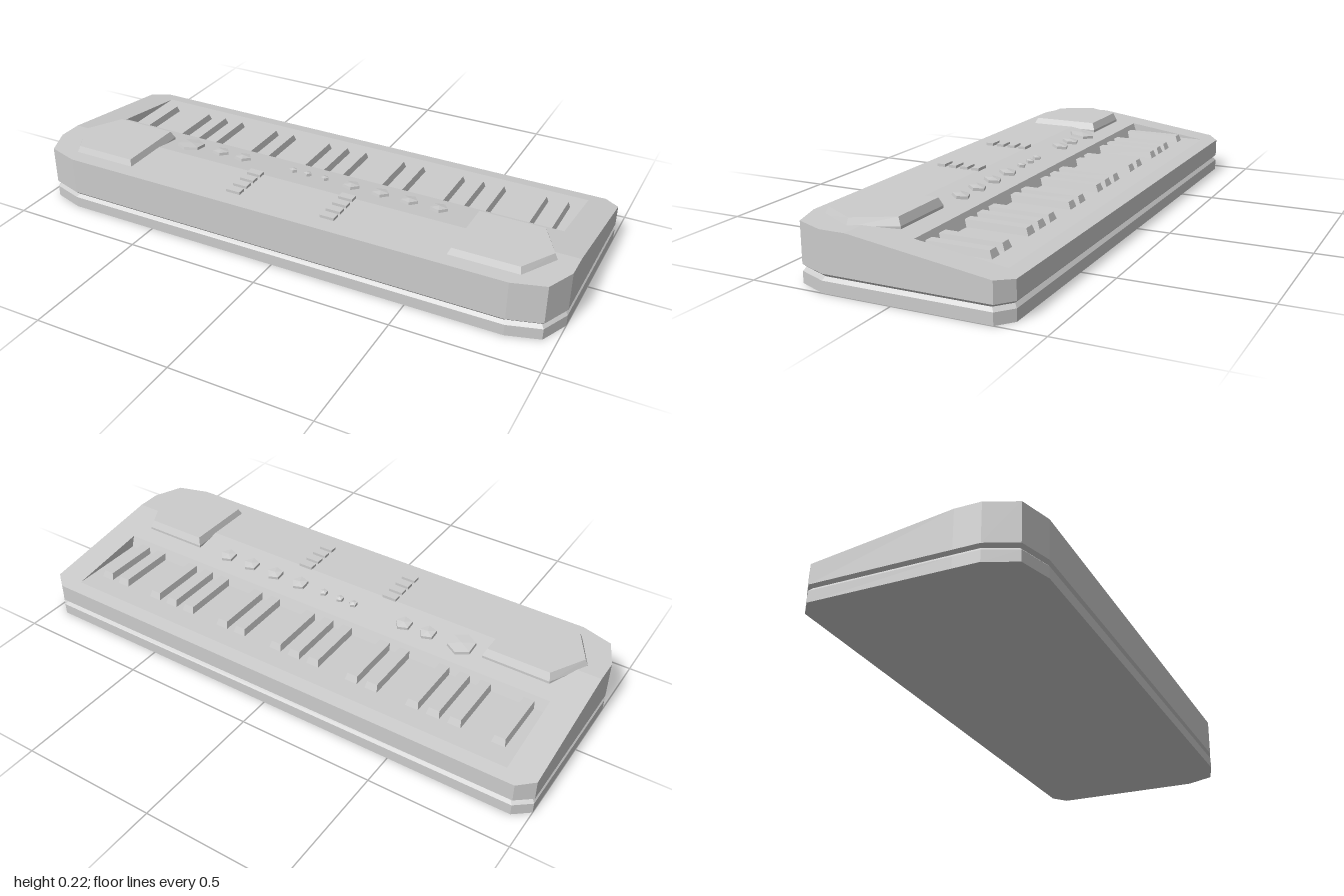
import * as THREE from 'three';

const mat = new THREE.MeshStandardMaterial({ color: 0xcccccc, flatShading: true });
const matDouble = new THREE.MeshStandardMaterial({ color: 0xcccccc, flatShading: true, side: THREE.DoubleSide });

const CREASE = 0.15, BACK = -0.38, TOP = 0.2, DROP = 0.073;
const TILT = Math.atan(DROP / (CREASE - BACK));
// Height of the deck: flat at the front, sloping down to the back
const deckY = z => (z > CREASE ? TOP : TOP - DROP * (CREASE - z) / (CREASE - BACK));

function geometryFrom(positions, index) {
  const g = new THREE.BufferGeometry();
  g.setAttribute('position', new THREE.Float32BufferAttribute(positions.flat(), 3));
  g.setIndex(index);
  const flat = g.toNonIndexed();
  flat.computeVertexNormals();
  return flat;
}

// Skin between rings of [x, y, z], listed from bottom to top, with optional caps
function loft(rings, capTop = true) {
  const n = rings[0].length, index = [];
  for (let r = 0; r < rings.length - 1; r++) {
    for (let i = 0; i < n; i++) {
      const j = (i + 1) % n, a = r * n, b = a + n;
      index.push(a + i, a + j, b + j, a + i, b + j, b + i);
    }
  }
  const last = (rings.length - 1) * n;
  for (let i = 1; i < n - 1; i++) {
    index.push(0, i + 1, i);
    if (capTop) index.push(last, last + i, last + i + 1);
  }
  return geometryFrom(rings.flat(), index);
}

// Flat piece of the deck, draped over the deck height
function deckPiece(points, hole) {
  const toShape = p => new THREE.Vector2(p[0], -p[1]);
  const shape = new THREE.Shape(points.map(toShape));
  if (hole) shape.holes.push(new THREE.Path(hole.map(toShape)));
  const g = new THREE.ShapeGeometry(shape).rotateX(-Math.PI / 2);
  const p = g.attributes.position;
  for (let i = 0; i < p.count; i++) p.setY(i, deckY(p.getZ(i)));
  g.computeVertexNormals();
  return g;
}

export function createModel() {
  const model = new THREE.Group();
  const add = (name, geometry, material = mat) => {
    const mesh = new THREE.Mesh(geometry, material);
    mesh.name = name;
    model.add(mesh);
    return mesh;
  };

  // Plan outline, counter-clockwise from above as [x, z]
  const half = [[0.84, 0.38], [0.955, 0.345], [1, 0.24], [1, CREASE], [1, -0.335], [0.945, BACK]];
  const mirrored = half.map(([x, z]) => [-x, z]).reverse();
  const outline = [...half, ...mirrored];

  // Case walls with a V groove around them
  const ring = (y, inset) => outline.map(([x, z]) => [x * (1 - inset), y, z * (1 - inset / 0.38)]);
  add('caseWalls', loft([
    ring(0, 0), ring(0.04, 0), ring(0.052, 0.01), ring(0.062, 0),
    outline.map(([x, z]) => [x, deckY(z), z]),
  ], false));

  // Deck: flat front panel and sloping rear panel with the keybed opening
  const W = 0.895, Z0 = -0.33, Z1 = -0.02, floorY = deckY(Z0);
  add('frontDeck', deckPiece([...half.slice(0, 4), ...mirrored.slice(2)]));
  add('rearDeck', deckPiece([...half.slice(3), ...mirrored.slice(0, 3)],
    [[-W, Z0], [W, Z0], [W, Z1], [-W, Z1]]));

  // Keybed: level floor, leaning front wall and triangular ends
  const keybed = [];
  for (const x of [-W, W]) keybed.push([x, floorY, Z0], [x, floorY, -0.035], [x, deckY(Z1), Z1]);
  add('keybed', geometryFrom(keybed, [0, 1, 4, 0, 4, 3, 1, 2, 5, 1, 5, 4, 0, 2, 1, 3, 4, 5]), matDouble);

  // Raised keys in groups of two and three
  const rect = (x, w, y, front, back) =>
    [[x - w, y, front], [x + w, y, front], [x + w, y, back], [x - w, y, back]];
  const keyGeometry = loft([
    rect(0, 0.025, floorY - 0.003, -0.022, -0.254),
    rect(0, 0.019, 0.158, -0.022, -0.243),
  ]);
  for (const slot of [0, 2, 3, 4, 6, 7, 9, 10, 11, 13, 14, 16, 17, 18, 20, 21]) {
    add('blackKey', keyGeometry).position.x = -0.826 + slot * 0.0787;
  }

  // Five-sided speaker plates, pointing outwards
  const plate = [[0.612, 0.325], [0.86, 0.325], [0.937, 0.19], [0.86, 0.048], [0.612, 0.048]];
  const plateRing = (side, y, inset) => {
    const points = plate.map(([x, z]) => [
      side * (0.765 + (x - 0.765) * (1 - inset / 0.16)), y, 0.187 + (z - 0.187) * (1 - inset / 0.138),
    ]);
    return side > 0 ? points : points.reverse();
  };
  for (const side of [-1, 1]) {
    add(side > 0 ? 'leftSpeaker' : 'rightSpeaker', loft([
      plateRing(side, 0.18, 0), plateRing(side, 0.195, 0), plateRing(side, 0.222, 0.012),
    ]));
  }

  // Knobs set square to the sloping deck: [x, radius, sides]
  const knobs = [[-0.525, 0.052, 6], [-0.396, 0.033, 5], [-0.3, 0.033, 5],
    [-0.088, 0.016, 5], [-0.03, 0.016, 5], [0.04, 0.016, 5],
    [0.147, 0.033, 5], [0.26, 0.033, 5], [0.37, 0.033, 5], [0.48, 0.033, 5]];
  for (const [x, r, sides] of knobs) {
    const profile = [[r, -0.004], [r * 0.95, 0.01], [0, 0.014]].map(p => new THREE.Vector2(...p));
    const z = sides === 6 ? 0.067 : 0.06;
    const knob = add('knob', new THREE.LatheGeometry(profile, sides, sides === 6 ? 0 : Math.PI / 2));
    knob.position.set(x, deckY(z), z);
    knob.rotation.x = -TILT;
  }

  // Two columns of push buttons
  for (const x of [-0.187, 0.18]) {
    for (let i = 0; i < 4; i++) {
      add('button', new THREE.BoxGeometry(0.054, 0.02, 0.03)).position.set(x, 0.2, 0.16 + i * 0.046);
    }
  }

  return model;
}
